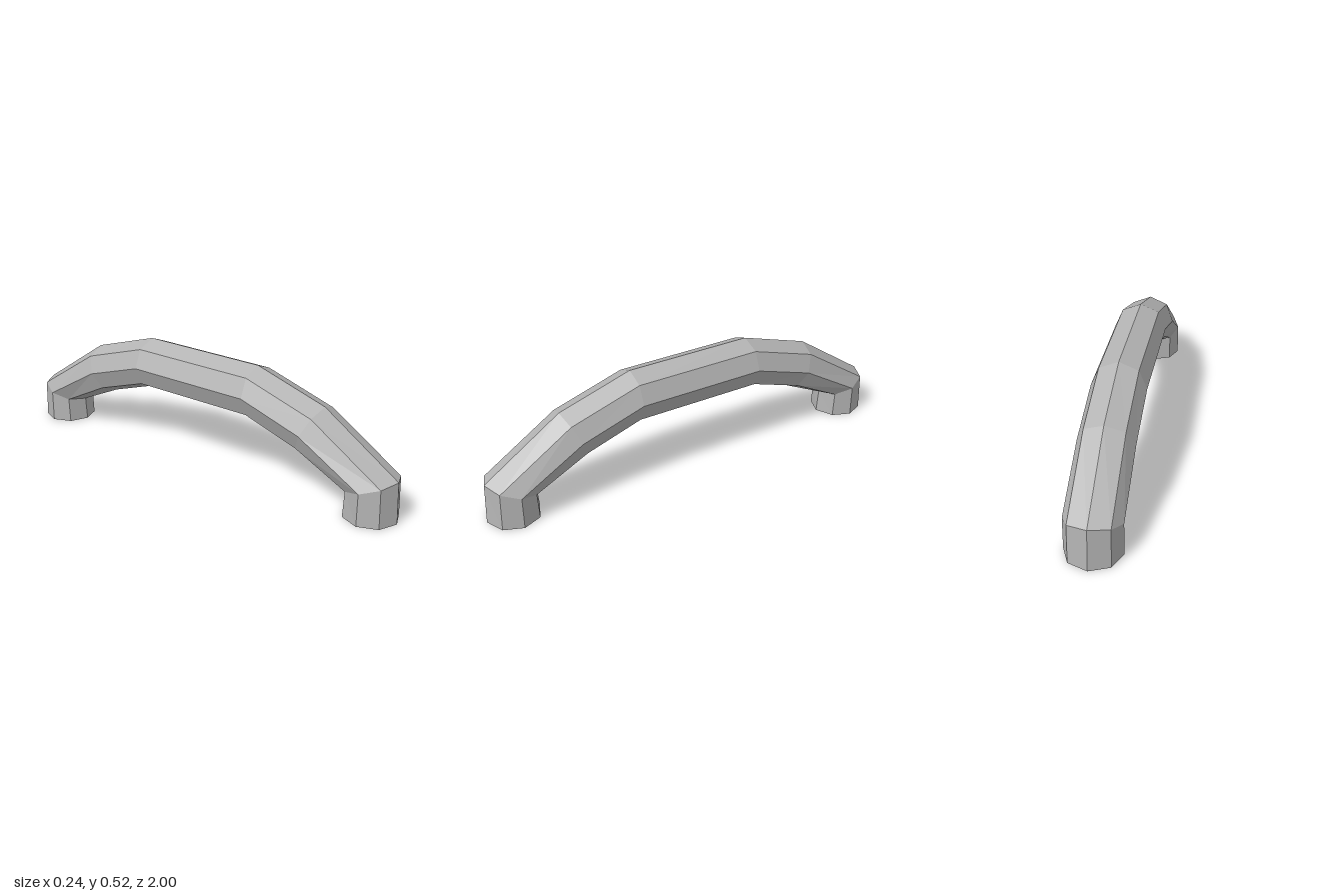
import * as THREE from 'three';

const SIDES = 8, RADIUS = 0.12;

// Half of the arch: centre (z, y) and outward direction (z, y) of each cross-section
const half = [
  { c: [0.88, 0], o: [0.12, 0] },
  { c: [0.88, 0.145], o: [0.112, 0.039] },
  { c: [0.591, 0.313], o: [0.048, 0.105] },
  { c: [0.3, 0.405], o: [0, 0.118] },
];

// Open octagonal tube lofted through the cross-sections
function loftTube(sections) {
  const positions = [], index = [];
  for (const { c, o } of sections) {
    for (let j = 0; j < SIDES; j++) {
      const a = (j / SIDES) * Math.PI * 2;
      positions.push(Math.sin(a) * RADIUS, c[1] + Math.cos(a) * o[1], c[0] + Math.cos(a) * o[0]);
    }
  }
  for (let i = 0; i < sections.length - 1; i++) {
    for (let j = 0; j < SIDES; j++) {
      const k = (j + 1) % SIDES;
      const a = i * SIDES + j, b = i * SIDES + k;
      const c = b + SIDES, d = a + SIDES;
      index.push(a, b, d, b, c, d);
    }
  }
  const geometry = new THREE.BufferGeometry();
  geometry.setAttribute('position', new THREE.Float32BufferAttribute(positions, 3));
  geometry.setIndex(index);
  const flat = geometry.toNonIndexed();
  flat.computeVertexNormals();
  return flat;
}

export function createModel() {
  const group = new THREE.Group();
  group.name = 'archedHandle';

  const grey = new THREE.MeshStandardMaterial({ color: 0xb4b4b4, flatShading: true, side: THREE.DoubleSide });
  grey.name = 'grey';

  // Mirror the front half to make the back half
  const back = half.map(({ c, o }) => ({ c: [-c[0], c[1]], o: [-o[0], o[1]] })).reverse();
  const handle = new THREE.Mesh(loftTube([...half, ...back]), grey);
  handle.name = 'handleTube';
  group.add(handle);
  return group;
}
